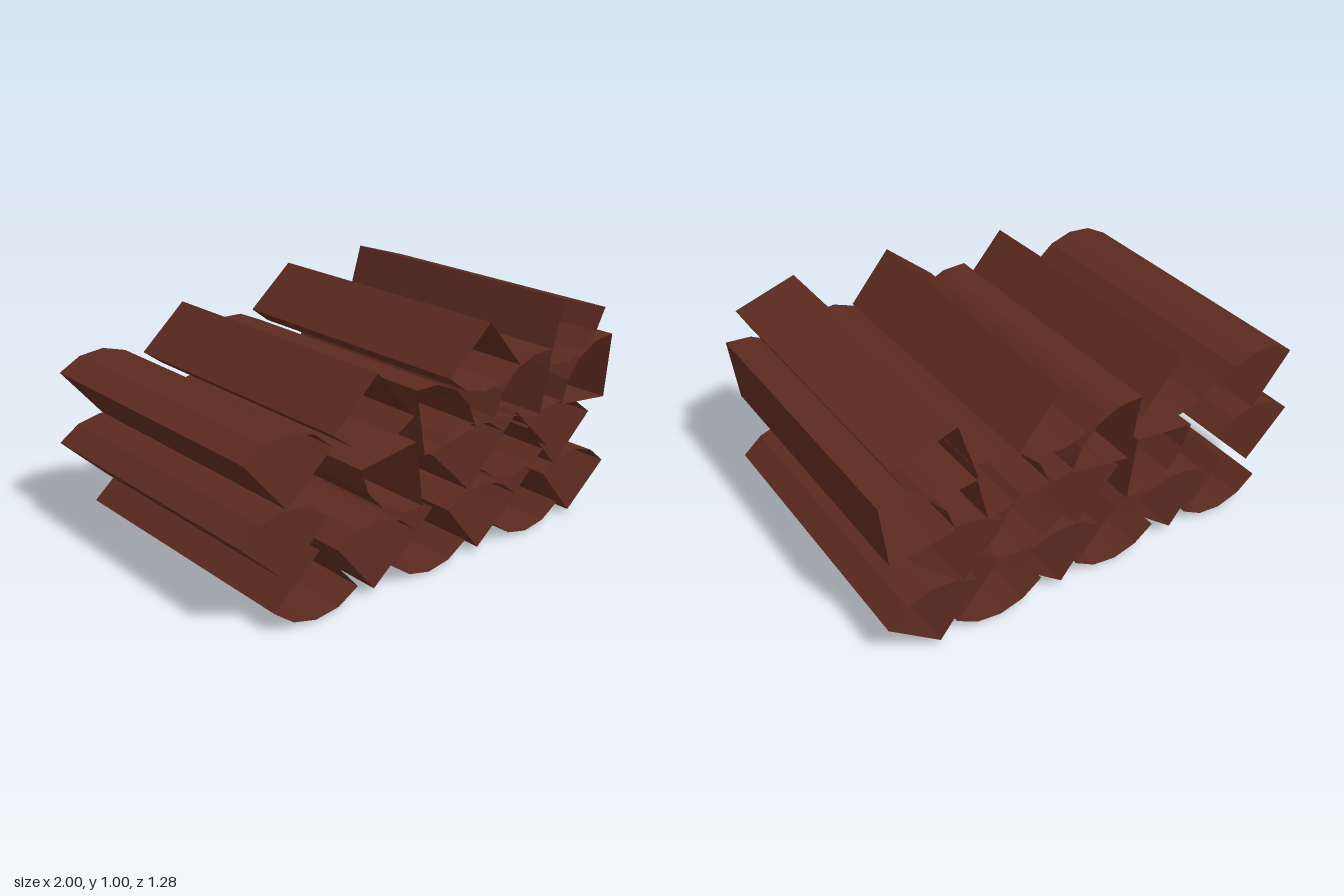
import * as THREE from 'three';

const RADIUS = 0.283;
const HALF_LENGTH = 0.64;
const ARC_STEPS = 4;

// Split logs: [core x, core y, start angle of the quarter round in degrees]
const LOGS = {
  bottomRowBarkDown: [[-0.645, 0.283, 221], [-0.07, 0.283, 223], [0.505, 0.283, 223]],
  bottomRowBarkUp: [[-0.377, 0.03, 39], [0.198, 0.02, 39], [0.774, 0.017, 39]],
  secondRow: [[-0.8, 0.208, 46], [-0.165, 0.585, 188], [0.13, 0.3, 45], [0.4, 0.57, 225], [0.66, 0.27, 42]],
  thirdRow: [[-0.797, 0.493, 40], [-0.12, 0.515, 10], [0.546, 0.52, 78], [0.968, 0.505, 84]],
  topRow: [[-0.367, 0.905, 222], [0.222, 0.985, 221], [0.665, 1.0, 253]],
};

// Open-ended quarter-round prism along z
function logGeometry(cx, cy, startDeg) {
  const profile = [[cx, cy]];
  for (let i = 0; i <= ARC_STEPS; i++) {
    const a = THREE.MathUtils.degToRad(startDeg + (90 * i) / ARC_STEPS);
    profile.push([cx + RADIUS * Math.cos(a), cy + RADIUS * Math.sin(a)]);
  }
  const positions = [];
  profile.forEach((a, i) => {
    const b = profile[(i + 1) % profile.length];
    const h = HALF_LENGTH;
    positions.push(...a, -h, ...b, -h, ...b, h);
    positions.push(...a, -h, ...b, h, ...a, h);
  });
  const geometry = new THREE.BufferGeometry();
  geometry.setAttribute('position', new THREE.Float32BufferAttribute(positions, 3));
  geometry.computeVertexNormals();
  return geometry;
}

export function createModel() {
  const model = new THREE.Group();
  model.name = 'firewoodPile';
  const wood = new THREE.MeshStandardMaterial({
    color: 0x5c2a1f,
    flatShading: true,
    side: THREE.DoubleSide,
  });

  // Rows of split logs, stacked from the ground up
  for (const [rowName, logs] of Object.entries(LOGS)) {
    const row = new THREE.Group();
    row.name = rowName;
    logs.forEach((log, i) => {
      const mesh = new THREE.Mesh(logGeometry(...log), wood);
      mesh.name = `splitLog${i + 1}`;
      row.add(mesh);
    });
    model.add(row);
  }
  return model;
}
